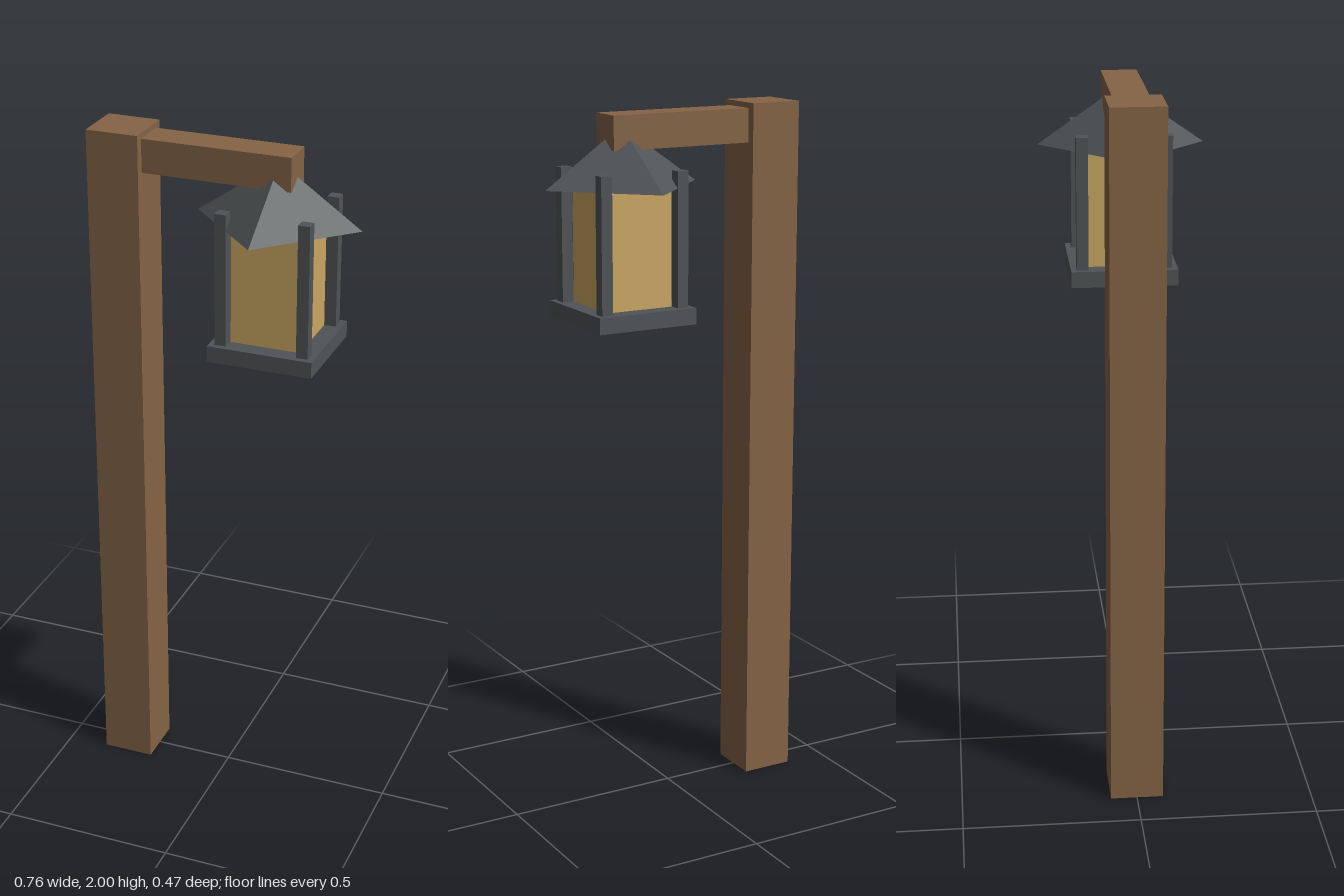
import * as THREE from 'three';

const mat = (name, color) => {
  const m = new THREE.MeshStandardMaterial({ color, flatShading: true });
  m.name = name;
  return m;
};

export function createModel() {
  const wood = mat('wood', 0x856446);
  const iron = mat('dark iron', 0x505456);
  const glass = mat('amber glass', 0xcba862);

  const add = (parent, name, geometry, material, x, y, z) => {
    const mesh = new THREE.Mesh(geometry, material);
    mesh.name = name;
    mesh.position.set(x, y, z);
    parent.add(mesh);
    return mesh;
  };
  const box = (w, h, d) => new THREE.BoxGeometry(w, h, d);

  const model = new THREE.Group();
  model.name = 'lampPost';

  // Wooden post and the arm reaching out from its top
  add(model, 'post', box(0.15, 2, 0.15), wood, -0.305, 1, 0);
  add(model, 'arm', box(0.425, 0.095, 0.1), wood, -0.0175, 1.9375, 0);

  // Lantern hanging under the end of the arm
  const lantern = new THREE.Group();
  lantern.name = 'lantern';
  lantern.position.x = 0.145;
  model.add(lantern);

  add(lantern, 'base', box(0.3, 0.046, 0.3), iron, 0, 1.438, 0);
  add(lantern, 'pane', box(0.2, 0.335, 0.2), glass, 0, 1.6275, 0);

  // Corner bars pass up through the roof slopes
  for (const sx of [-1, 1])
    for (const sz of [-1, 1])
      add(lantern, 'cornerBar', box(0.033, 0.376, 0.033), iron, sx * 0.117, 1.648, sz * 0.117);

  // Four-sided roof, turned so its corners point along the axes
  add(lantern, 'roof', new THREE.ConeGeometry(0.233, 0.162, 4), iron, 0, 1.871, 0);

  return model;
}
